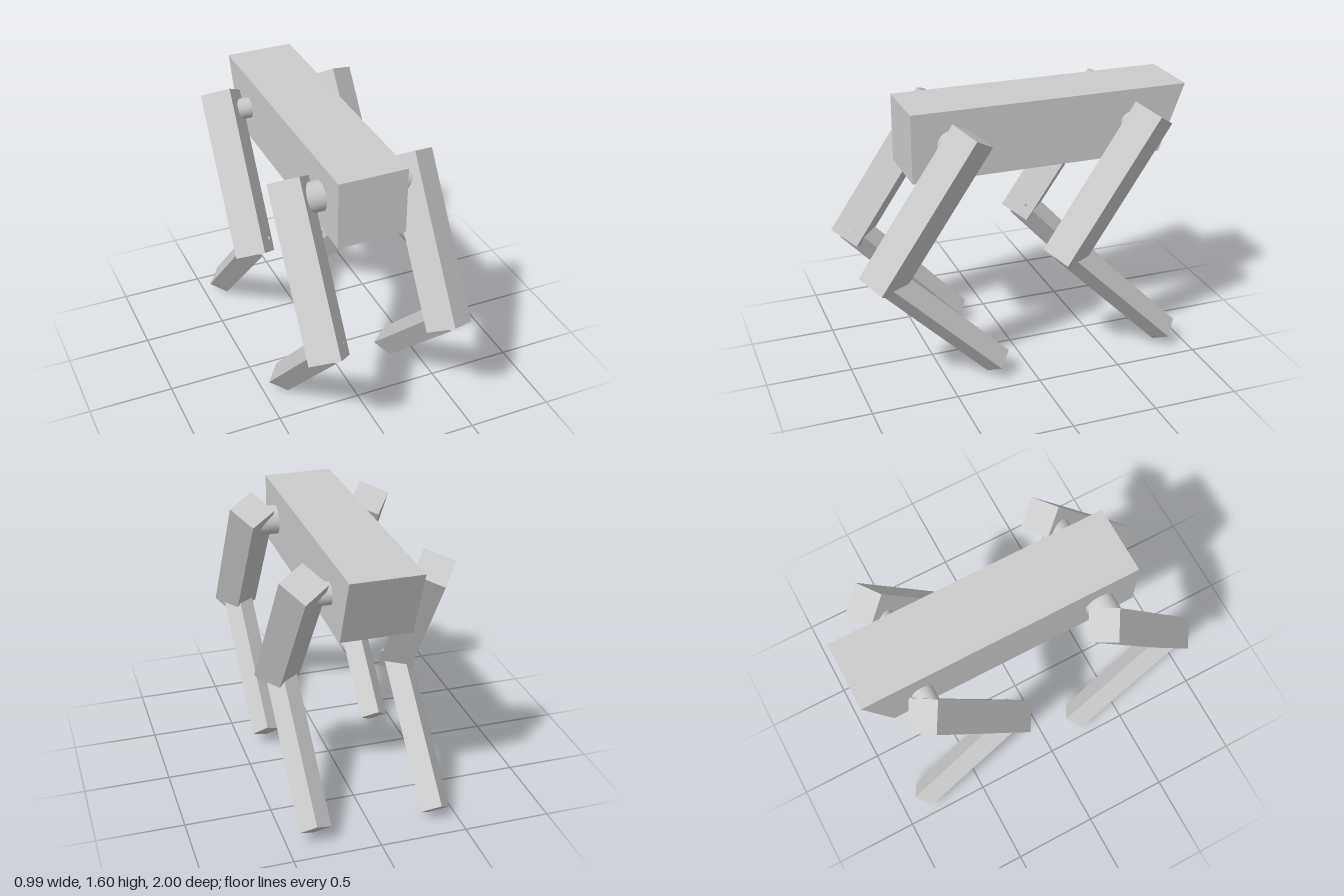
import * as THREE from 'three';

const material = new THREE.MeshStandardMaterial({ color: 0xcccccc, flatShading: true });
const smooth = new THREE.MeshStandardMaterial({ color: 0xcccccc });

// Square bar between two points, twisted about its own axis
function bar(name, size, top, bottom, twist) {
  const a = new THREE.Vector3(...top), b = new THREE.Vector3(...bottom);
  const y = a.clone().sub(b).normalize();
  const z = new THREE.Vector3(1, 0, 0).cross(y).normalize();
  const x = y.clone().cross(z);
  const geometry = new THREE.BoxGeometry(size, a.distanceTo(b), size);
  geometry.rotateY(THREE.MathUtils.degToRad(twist));
  geometry.applyMatrix4(new THREE.Matrix4().makeBasis(x, y, z));
  const mesh = new THREE.Mesh(geometry, material);
  mesh.name = name;
  mesh.position.copy(a.add(b).multiplyScalar(0.5));
  return mesh;
}

export function createModel() {
  const model = new THREE.Group();
  model.name = 'quadruped';

  // Body: side profile (z, y) with a slanted rear end
  const profile = new THREE.Shape(
    [[0.64, 1.21], [0.64, 1.605], [-1, 1.605], [-0.85, 1.21]].map(p => new THREE.Vector2(...p)));
  const bodyGeometry = new THREE.ExtrudeGeometry(profile, { depth: 0.4, bevelEnabled: false });
  bodyGeometry.translate(0, 0, -0.2).rotateY(-Math.PI / 2);
  const body = new THREE.Mesh(bodyGeometry, material);
  body.name = 'body';
  model.add(body);

  const pairs = [
    { end: 'front', z: 0, hipRadius: 0.085, hipX: 0.358, kneeX: 0.359 },
    { end: 'rear', z: -1.075, hipRadius: 0.0625, hipX: 0.353, kneeX: 0.368 },
  ];
  for (const { end, z, hipRadius, hipX, kneeX } of pairs) {
    // Hip axle running through the body into both legs
    const axle = new THREE.Mesh(new THREE.CylinderGeometry(hipRadius, hipRadius, 0.68, 32), smooth);
    axle.name = end + 'HipAxle';
    axle.rotation.z = Math.PI / 2;
    axle.position.set(0, 1.41, 0.41 + z);
    model.add(axle);

    for (const side of [1, -1]) {
      const leg = new THREE.Group();
      leg.name = end + (side > 0 ? 'Left' : 'Right') + 'Leg';
      // Thigh slopes forward and down, shin slopes back to the foot
      leg.add(bar('thigh', 0.183, [side * hipX, 1.508, 0.343 + z],
        [side * kneeX, 0.693, 0.893 + z], side * 35));
      leg.add(side > 0
        ? bar('shin', 0.125, [0.355, 0.77, 0.883 + z], [0.34, 0.089, 0.2 + z], 38)
        : bar('shin', 0.125, [-0.352, 0.77, 0.883 + z], [-0.374, 0.06, 0.227 + z], -38));
      model.add(leg);
    }
  }
  return model;
}
